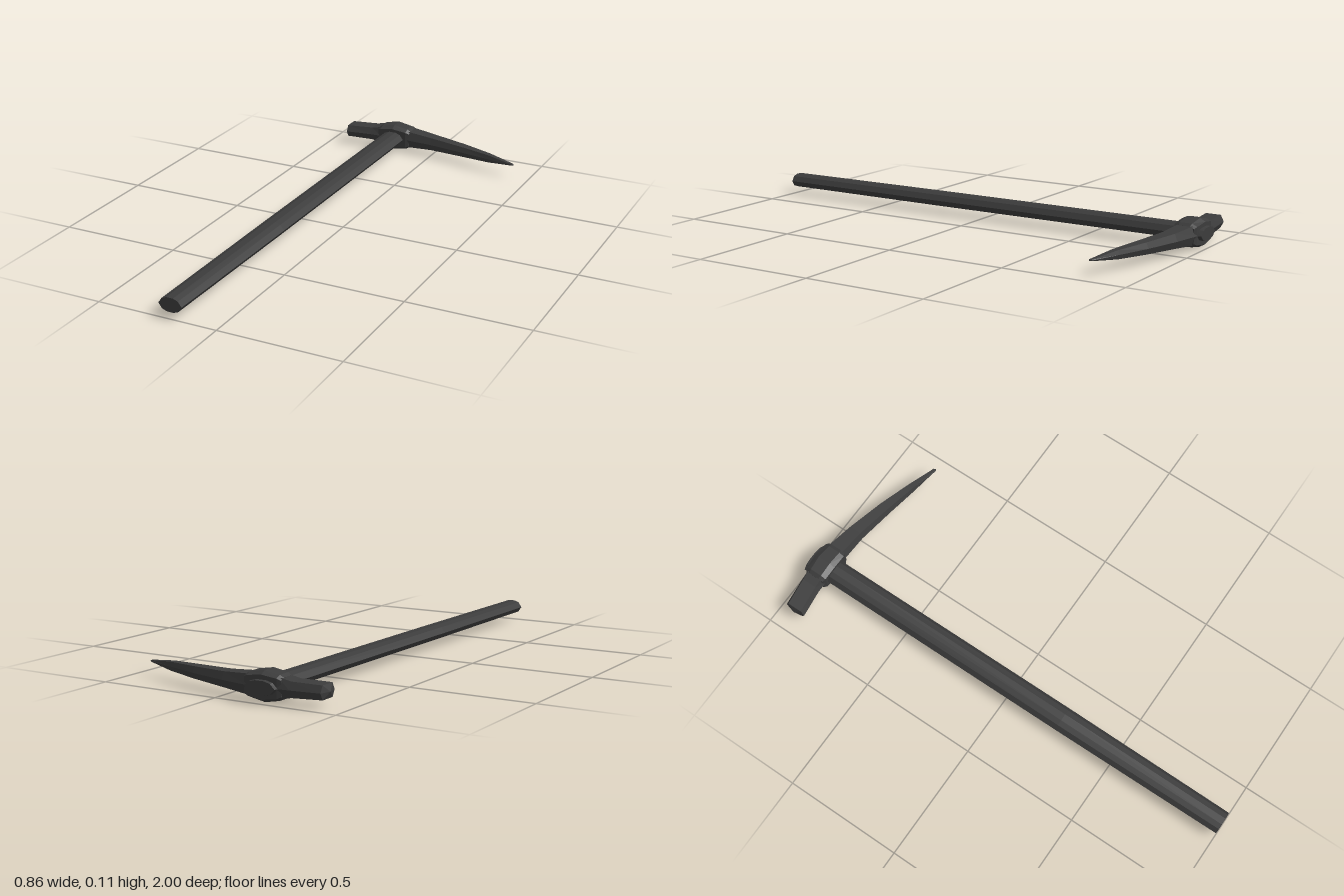
import * as THREE from 'three';

const material = new THREE.MeshStandardMaterial({ color: 0x3c3c3c, flatShading: true });

// Skins a list of equal-sized rings (counter-clockwise about the travel axis) and caps both ends.
// startPoint / endPoint replace the cap centre to make a crowned end.
function loft(name, rings, startPoint, endPoint) {
  const pos = [];
  const tri = (a, b, c) => pos.push(...a, ...b, ...c);
  const centre = (ring) => [0, 1, 2].map((k) => ring.reduce((s, p) => s + p[k], 0) / ring.length);
  const n = rings[0].length;
  const first = rings[0], last = rings[rings.length - 1];
  const c0 = startPoint || centre(first), c1 = endPoint || centre(last);
  for (let j = 0; j < n; j++) {
    const k = (j + 1) % n;
    for (let i = 0; i + 1 < rings.length; i++) {
      tri(rings[i][j], rings[i][k], rings[i + 1][k]);
      tri(rings[i][j], rings[i + 1][k], rings[i + 1][j]);
    }
    tri(c0, first[k], first[j]);
    tri(c1, last[j], last[k]);
  }
  const geometry = new THREE.BufferGeometry();
  geometry.setAttribute('position', new THREE.Float32BufferAttribute(pos, 3));
  geometry.computeVertexNormals();
  const mesh = new THREE.Mesh(geometry, material);
  mesh.name = name;
  return mesh;
}

const MID_Y = 0.06;
const HANDLE_X = -0.19;

// Unit outlines as [y, z], running from +y towards +z: ridged arm and chamfered eye
const armOutline = [[1, -0.7], [1, 0.7], [0, 1], [-1, 0.7], [-1, -0.7], [0, -1]];
const eyeOutline = [[1, -0.55], [1, 0.55], [0.78, 1], [-0.78, 1],
  [-1, 0.55], [-1, -0.55], [-0.78, -1], [0.78, -1]];

// Section across x: x, half height, back z, front z
const sectionX = (outline) => ([x, h, back, front]) => outline.map(([y, z]) =>
  [x, MID_Y + y * h, (back + front) / 2 + z * (front - back) / 2]);

export function createModel() {
  const group = new THREE.Group();
  group.name = 'pickaxe';

  // Handle: flattened ten-sided bar, flared where it passes through the head
  const quarter = [[0.053, 0], [0.037, 0.022], [0.015, 0.03]];
  const handleOutline = [
    ...quarter,
    ...quarter.slice(1).reverse().map(([x, y]) => [-x, y]),
    [-0.053, 0],
    ...quarter.slice(1).map(([x, y]) => [-x, -y]),
    ...quarter.slice(1).reverse().map(([x, y]) => [x, -y]),
  ];
  const handleSections = [[-1, 1.2, 0.85], [-0.975, 1.22, 0.95], [-0.89, 1, 1], [0.25, 1, 1], [1, 0.92, 0.95]];
  group.add(loft('handle', handleSections.map(([z, sx, sy]) =>
    handleOutline.map(([x, y]) => [HANDLE_X + x * sx, MID_Y + y * sy, z]))));

  // Eye: swollen socket around the handle
  const eyeSections = [
    [-0.265, 0.037, -0.977, -0.895], [-0.25, 0.046, -0.983, -0.888], [-0.19, 0.057, -0.987, -0.886],
    [-0.125, 0.046, -0.983, -0.888], [-0.11, 0.037, -0.977, -0.895],
  ];
  group.add(loft('eye', eyeSections.map(sectionX(eyeOutline))));

  // Short hammer arm with a crowned striking face
  const hammerSections = [
    [-0.418, 0.026, -0.966, -0.876], [-0.3, 0.029, -0.98, -0.891], [-0.25, 0.039, -0.984, -0.891],
  ];
  group.add(loft('hammerArm', hammerSections.map(sectionX(armOutline)), [-0.43, MID_Y, -0.921]));

  // Long curved pick arm tapering to a point
  const pickSections = [
    [-0.125, 0.038, -0.984, -0.891], [0, 0.029, -0.96, -0.885], [0.16, 0.023, -0.919, -0.86],
    [0.3, 0.017, -0.873, -0.836], [0.425, 0.003, -0.83, -0.815],
  ];
  group.add(loft('pickArm', pickSections.map(sectionX(armOutline)), null, [0.43, MID_Y, -0.82]));

  return group;
}
